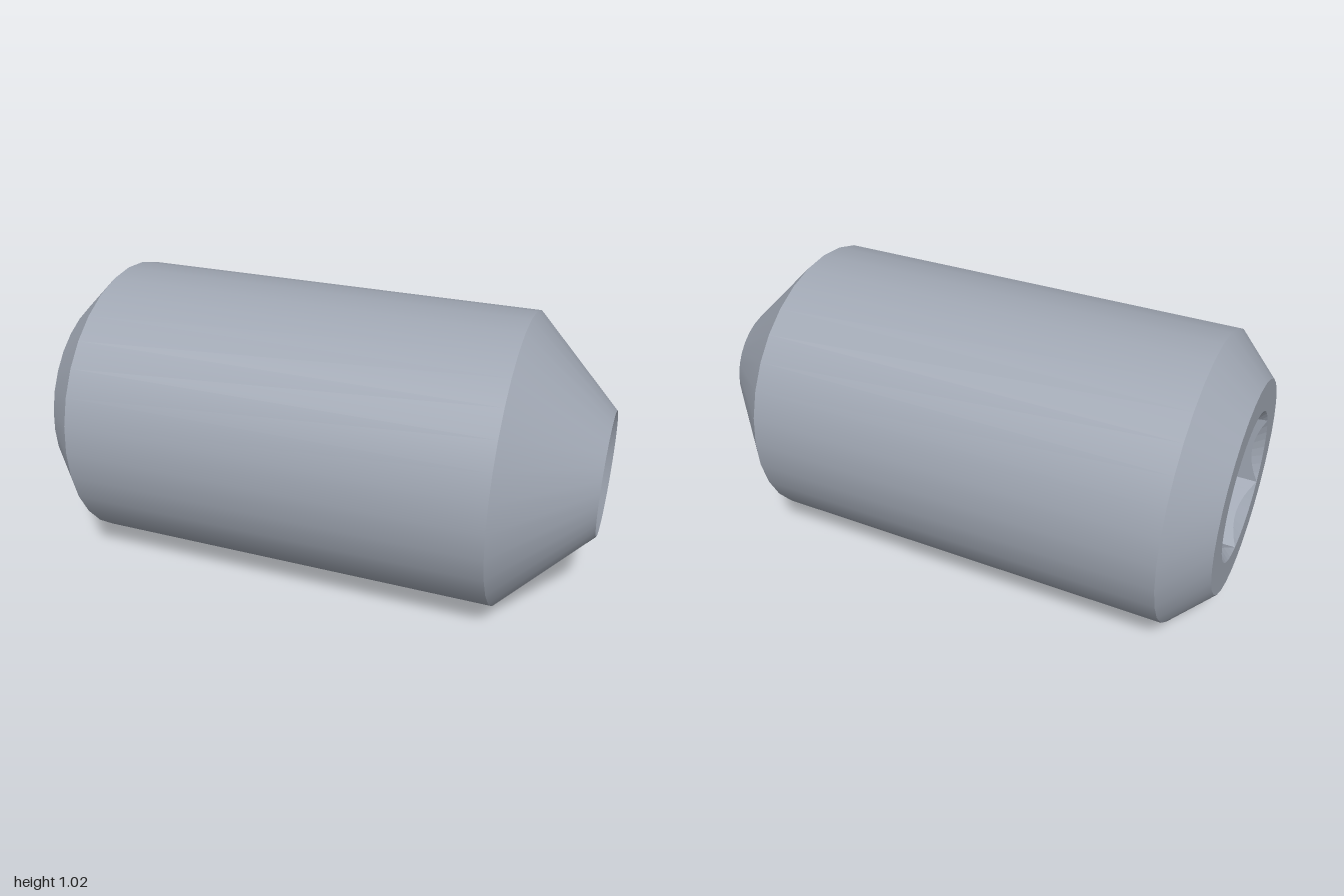
import * as THREE from 'three';

const SIDES = 32;
const R = 0.5125;          // body radius
const LENGTH = 1.919;      // overall length along the axis
const BACK_R = 0.373, BACK_BEVEL = 0.139;
const TIP_R = 0.215, TIP_LENGTH = 0.298, CUP_DEPTH = 0.105;
const MOUTH_R = 0.262, SOCKET_DEPTH = 0.66;
const APOTHEM = MOUTH_R * Math.cos(Math.PI / 6);
const STEPS = 8;           // steps across each hexagon wall

const steel = new THREE.MeshStandardMaterial({ color: 0x9fa6b2 });
steel.name = 'steel grey';

// Surface of revolution about the x axis, from (radius, x) to (radius, x)
function turned(name, r0, x0, r1, x1) {
  const points = [new THREE.Vector2(r0, x0), new THREE.Vector2(r1, x1)];
  const geometry = new THREE.LatheGeometry(points, SIDES).rotateZ(-Math.PI / 2);
  return named(name, geometry);
}

function named(name, geometry) {
  const mesh = new THREE.Mesh(geometry, steel);
  mesh.name = name;
  return mesh;
}

function circlePoints(radius, count) {
  return Array.from({ length: count }, (_, i) => {
    const a = (i / count) * Math.PI * 2;
    return new THREE.Vector2(radius * Math.cos(a), radius * Math.sin(a));
  });
}

// Flat ring around the socket, facing -x
function endFace() {
  const shape = new THREE.Shape(circlePoints(BACK_R, SIDES));
  shape.holes.push(new THREE.Path(circlePoints(MOUTH_R, STEPS * 6)));
  return new THREE.ShapeGeometry(shape).rotateY(-Math.PI / 2);
}

// Hexagonal socket with a 45 degree countersunk mouth
function socket() {
  const positions = [];
  const point = (radius, angle, x) => [x, radius * Math.sin(angle), radius * Math.cos(angle)];
  const quad = (a, b, c, d) => positions.push(...a, ...b, ...c, ...a, ...c, ...d);
  for (let wall = 0; wall < 6; wall++) {
    const middle = wall * Math.PI / 3;
    for (let i = 0; i < STEPS; i++) {
      const [s, e] = [i, i + 1].map((k) => {
        const offset = (k / STEPS - 0.5) * Math.PI / 3;
        const r = APOTHEM / Math.cos(offset);
        const angle = middle + offset;
        return {
          mouth: point(MOUTH_R, angle, 0),
          edge: point(r, angle, MOUTH_R - r),
          floor: point(r, angle, SOCKET_DEPTH),
        };
      });
      quad(s.mouth, e.mouth, e.edge, s.edge);
      quad(s.edge, e.edge, e.floor, s.floor);
      positions.push(SOCKET_DEPTH, 0, 0, ...s.floor, ...e.floor);
    }
  }
  const geometry = new THREE.BufferGeometry();
  geometry.setAttribute('position', new THREE.Float32BufferAttribute(positions, 3));
  geometry.computeVertexNormals();
  return geometry;
}

export function createModel() {
  const screw = new THREE.Group();
  screw.name = 'setScrew';
  const shoulder = LENGTH - TIP_LENGTH;
  screw.add(
    turned('body', R, BACK_BEVEL, R, shoulder),
    turned('backBevel', BACK_R, 0, R, BACK_BEVEL),
    turned('taperedTip', R, shoulder, TIP_R, LENGTH),
    turned('cupPoint', TIP_R, LENGTH, 0, LENGTH - CUP_DEPTH),
    named('endFace', endFace()),
    named('hexSocket', socket()),
  );

  // Lay the axis along x, turned slightly towards the front
  screw.rotation.y = -THREE.MathUtils.degToRad(12);
  screw.position.set(-0.9225, R, -0.183);

  const model = new THREE.Group();
  model.name = 'model';
  model.add(screw);
  return model;
}
